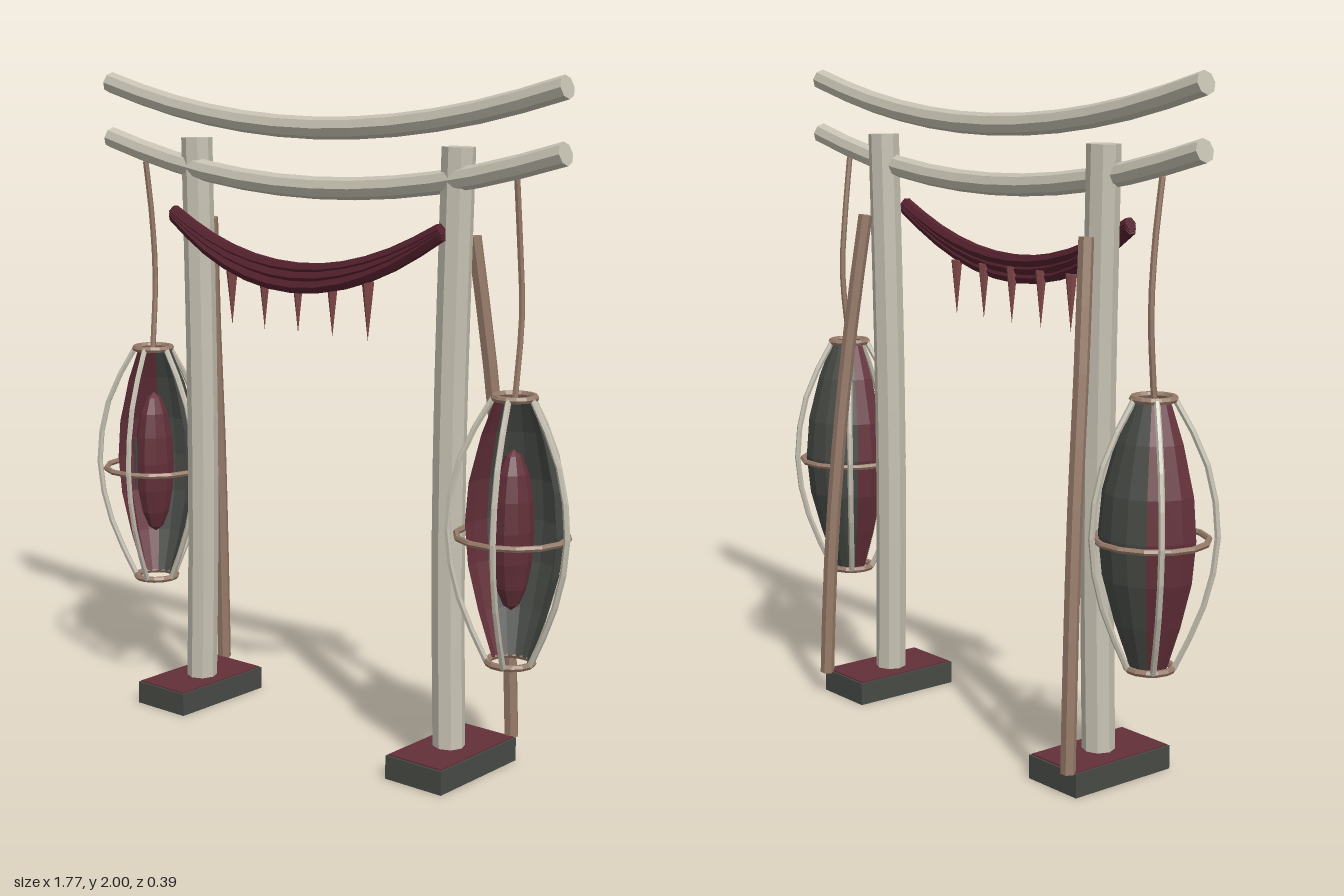
import * as THREE from 'three';
import { mergeGeometries } from 'three/addons/utils/BufferGeometryUtils.js';

const V = (x, y, z) => new THREE.Vector3(x, y, z);
const rad = THREE.MathUtils.degToRad;

function material(name, color, side = THREE.FrontSide) {
  const m = new THREE.MeshStandardMaterial({ color, flatShading: true, side });
  m.name = name;
  return m;
}
const pale = material('paleWood', 0xc6c1b2);
const brown = material('brownWood', 0x977b69);
const dark = material('darkShell', 0x474a45, THREE.DoubleSide);
const maroon = material('maroon', 0x633039, THREE.DoubleSide);
const cloth = material('garlandRed', 0x54212d);
const tasselRed = material('tasselRed', 0x82494a);

function add(parent, name, geometry, mat, x = 0, y = 0, z = 0) {
  const mesh = new THREE.Mesh(geometry, mat);
  mesh.name = name;
  mesh.position.set(x, y, z);
  parent.add(mesh);
  return mesh;
}

// Faceted rod along a smooth path, closed at both ends
function rod(points, radius, segments = 8, sides = 8) {
  const curve = new THREE.CatmullRomCurve3(points);
  const tube = new THREE.TubeGeometry(curve, segments, radius, sides);
  const pos = tube.attributes.position;
  const caps = [];
  for (const end of [0, 1]) {
    const c = curve.getPoint(end);
    const out = curve.getTangent(end).multiplyScalar(end ? 1 : -1);
    const first = end * segments * (sides + 1);
    for (let i = 0; i < sides; i++) {
      const a = new THREE.Vector3().fromBufferAttribute(pos, first + i);
      const b = new THREE.Vector3().fromBufferAttribute(pos, first + i + 1);
      const facing = a.clone().sub(c).cross(b.clone().sub(c)).dot(out) > 0;
      caps.push(c, ...(facing ? [a, b] : [b, a]));
    }
  }
  const body = tube.toNonIndexed();
  body.deleteAttribute('uv');
  body.deleteAttribute('normal');
  const merged = mergeGeometries([body, new THREE.BufferGeometry().setFromPoints(caps)]);
  merged.computeVertexNormals();
  return merged;
}

// Path sagging as a parabola between two raised ends
function sag(cx, half, yMid, rise, zEnd, zMid) {
  return [-1, -0.75, -0.5, -0.25, 0, 0.25, 0.5, 0.75, 1].map(t =>
    V(cx + t * half, yMid + rise * t * t, zMid + (zEnd - zMid) * t * t));
}

// Part of a shell between two angles measured from +x towards +z
function shell(from, to) {
  const profile = [[0.055, -0.38], [0.1, -0.25], [0.135, -0.12], [0.147, 0],
    [0.137, 0.12], [0.1, 0.26], [0.055, 0.375]].map(p => new THREE.Vector2(...p));
  return new THREE.LatheGeometry(profile, Math.max(2, Math.round((to - from) / 22)),
    rad(90 - to), rad(to - from));
}

function ring(parent, name, radius, tube, y) {
  add(parent, name, new THREE.TorusGeometry(radius, tube, 6, 14), brown, 0, y, 0).rotation.x = Math.PI / 2;
}

function lantern(name, split) {
  const g = new THREE.Group();
  g.name = name;
  // Half shell in two colours, with the core showing at the open front
  add(g, 'shellSide', shell(170, split), maroon);
  add(g, 'shellBack', shell(split, 360), dark);
  add(g, 'core', new THREE.SphereGeometry(1, 10, 8), maroon).scale.set(0.058, 0.23, 0.068);
  add(g, 'pin', new THREE.BoxGeometry(0.007, 0.16, 0.007), dark, 0, 0.01, 0.085);
  // Cage
  ring(g, 'topRing', 0.058, 0.01, 0.375);
  ring(g, 'middleRing', 0.158, 0.009, -0.015);
  ring(g, 'bottomRing', 0.065, 0.01, -0.38);
  const path = [V(0.058, 0.375, 0), V(0.145, 0.21, 0), V(0.181, 0, 0), V(0.145, -0.2, 0), V(0.067, -0.38, 0)];
  const strut = rod(path, 0.009, 8, 6);
  for (let i = 0; i < 5; i++) add(g, 'cageStrut', strut, pale).rotation.y = -rad(72 * i);
  return g;
}

export function createModel() {
  const model = new THREE.Group();
  model.name = 'gateway';
  const cx = -0.01;

  // Curved crossbeams
  add(model, 'topBeam', rod(sag(cx, 0.865, 1.84, 0.125, 0.026, 0.026), 0.033, 12), pale);
  add(model, 'lowerBeam', rod(sag(cx, 0.865, 1.667, 0.125, 0.026, 0.026), 0.033, 12), pale);

  for (const s of [-1, 1]) {
    const side = s > 0 ? 'left' : 'right';
    const X = d => cx + s * d;
    // Foot with coloured top
    add(model, side + 'Foot', new THREE.BoxGeometry(0.2, 0.07, 0.365), dark, X(0.508), 0.036, 0.014);
    add(model, side + 'FootTop', new THREE.BoxGeometry(0.188, 0.006, 0.352), maroon, X(0.508), 0.072, 0.014);
    // Slightly bowed post and the brace behind it
    add(model, side + 'Post', rod([V(X(0.5), 0.06, 0.016), V(X(0.488), 0.6, 0.014),
      V(X(0.489), 1.1, 0.012), V(X(0.503), 1.8, 0.008)], 0.048, 8), pale);
    add(model, side + 'Brace', rod([V(X(0.585), 0.07, -0.178), V(X(0.578), 0.4, -0.166),
      V(X(0.562), 0.8, -0.14), V(X(0.54), 1.2, -0.1), V(X(0.51), 1.55, -0.06)], 0.022, 8, 6), brown);
    // Hanging cord and lantern
    add(model, side + 'Cord', rod([V(X(0.712), 1.72, 0.026), V(X(0.71), 1.55, 0.005),
      V(X(0.712), 1.35, -0.008), V(X(0.708), 1.12, 0.012)], 0.009, 8, 6), brown);
    const lamp = lantern(side + 'Lantern', s > 0 ? 206 : 230);
    lamp.position.set(X(0.707), 0.75, 0.012);
    model.add(lamp);
  }

  // Garland of three strands
  [1.385, 1.412, 1.437].forEach((y, i) => add(model, 'garlandStrand',
    rod(sag(cx, 0.515, y, 1.565 + i * 0.007 - y, 0.1, 0.128 - i * 0.008), 0.02, 12, 6), cloth));

  // Tassels
  for (let i = -2; i <= 2; i++) {
    const cone = add(model, 'tassel', new THREE.ConeGeometry(0.018, 0.17, 6), tasselRed, cx + i * 0.132, 1.333, 0.108);
    cone.rotation.x = Math.PI;
  }
  return model;
}
